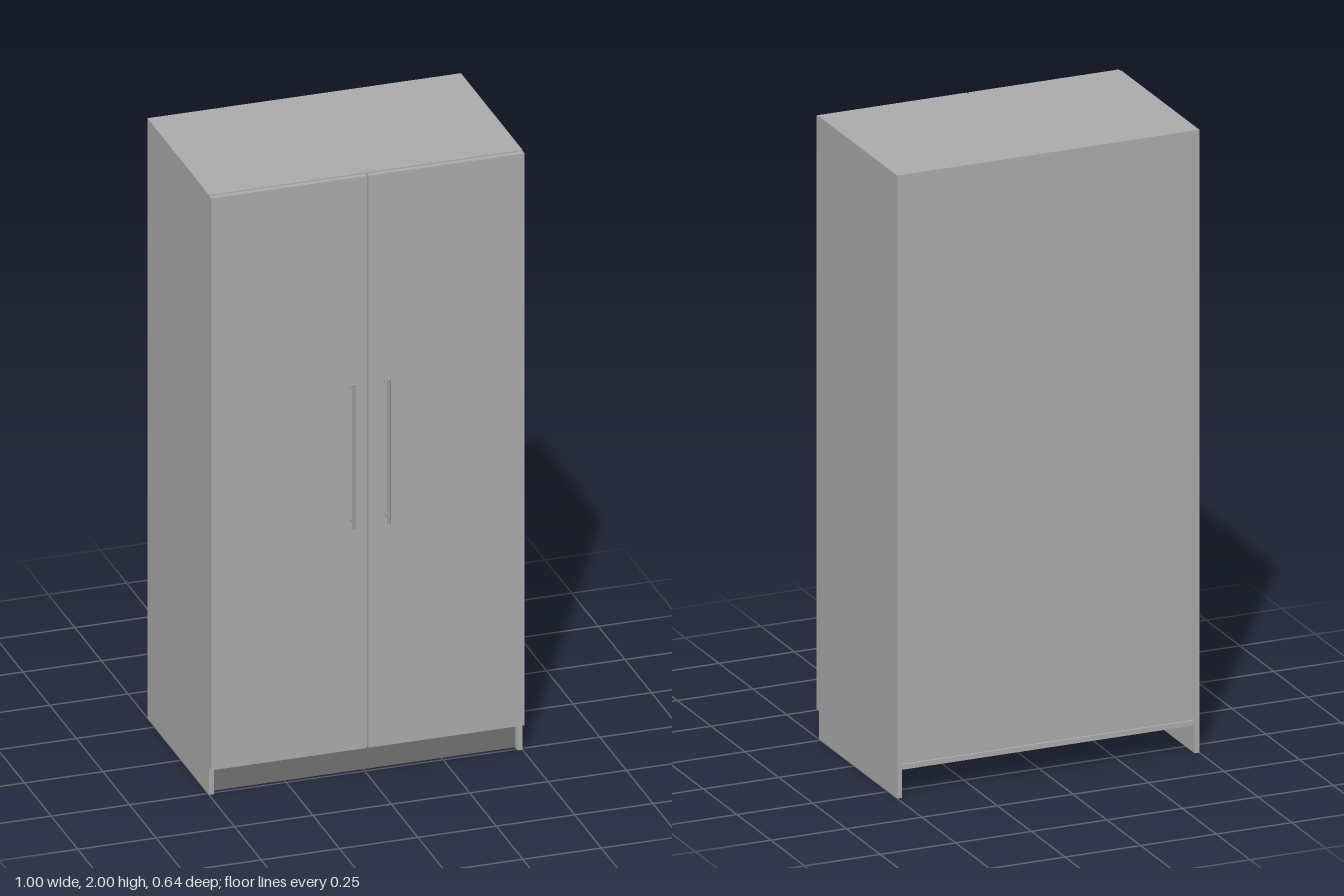
import * as THREE from 'three';

export function createModel() {
  const model = new THREE.Group();
  model.name = 'wardrobe';
  const panelGrey = new THREE.MeshStandardMaterial({ color: 0xaaaaaa });
  panelGrey.name = 'panel grey';
  const plinthGrey = new THREE.MeshStandardMaterial({ color: 0x707070 });
  plinthGrey.name = 'plinth grey';
  const handleGrey = new THREE.MeshStandardMaterial({ color: 0x999999 });
  handleGrey.name = 'handle grey';

  // Box given by its lower and upper corners
  const box = (name, [x0, y0, z0], [x1, y1, z1], material = panelGrey) => {
    const mesh = new THREE.Mesh(new THREE.BoxGeometry(x1 - x0, y1 - y0, z1 - z0), material);
    mesh.position.set((x0 + x1) / 2, (y0 + y1) / 2, (z0 + z1) / 2);
    mesh.name = name;
    model.add(mesh);
  };

  const t = 0.016; // board thickness
  const inner = 0.5 - t;
  const back = -0.318, front = 0.26;

  // Carcass boards
  box('topPanel', [-inner, 2 - t, back], [inner, 2, front]);
  box('bottomPanel', [-inner, 0.09, back], [inner, 0.09 + t, front]);
  box('backPanel', [-inner, 0.09 + t, back + 0.008], [inner, 2 - t, back + 0.014]);
  box('plinth', [-inner, 0, 0.22], [inner, 0.09, 0.236], plinthGrey);

  // Sides, doors and bar handles, mirrored
  for (const s of [-1, 1]) {
    const side = s > 0 ? 'left' : 'right';
    const span = (a, b) => [Math.min(s * a, s * b), Math.max(s * a, s * b)];
    const [sx0, sx1] = span(inner, 0.5);
    box(side + 'Side', [sx0, 0, back], [sx1, 2, front]);
    const [dx0, dx1] = span(0.003, 0.5);
    box(side + 'Door', [dx0, 0.09, 0.262], [dx1, 1.997, 0.279]);

    const handle = new THREE.Group();
    handle.name = side + 'Handle';
    handle.position.x = s * 0.056;
    const bar = new THREE.Mesh(new THREE.CylinderGeometry(0.006, 0.006, 0.48, 20), handleGrey);
    bar.name = 'bar';
    bar.position.set(0, 1.085, 0.312);
    handle.add(bar);
    for (const y of [0.865, 1.305]) {
      const post = new THREE.Mesh(new THREE.CylinderGeometry(0.0045, 0.0045, 0.034, 16), handleGrey);
      post.name = 'post';
      post.rotation.x = Math.PI / 2;
      post.position.set(0, y, 0.295);
      handle.add(post);
    }
    model.add(handle);
  }
  return model;
}
